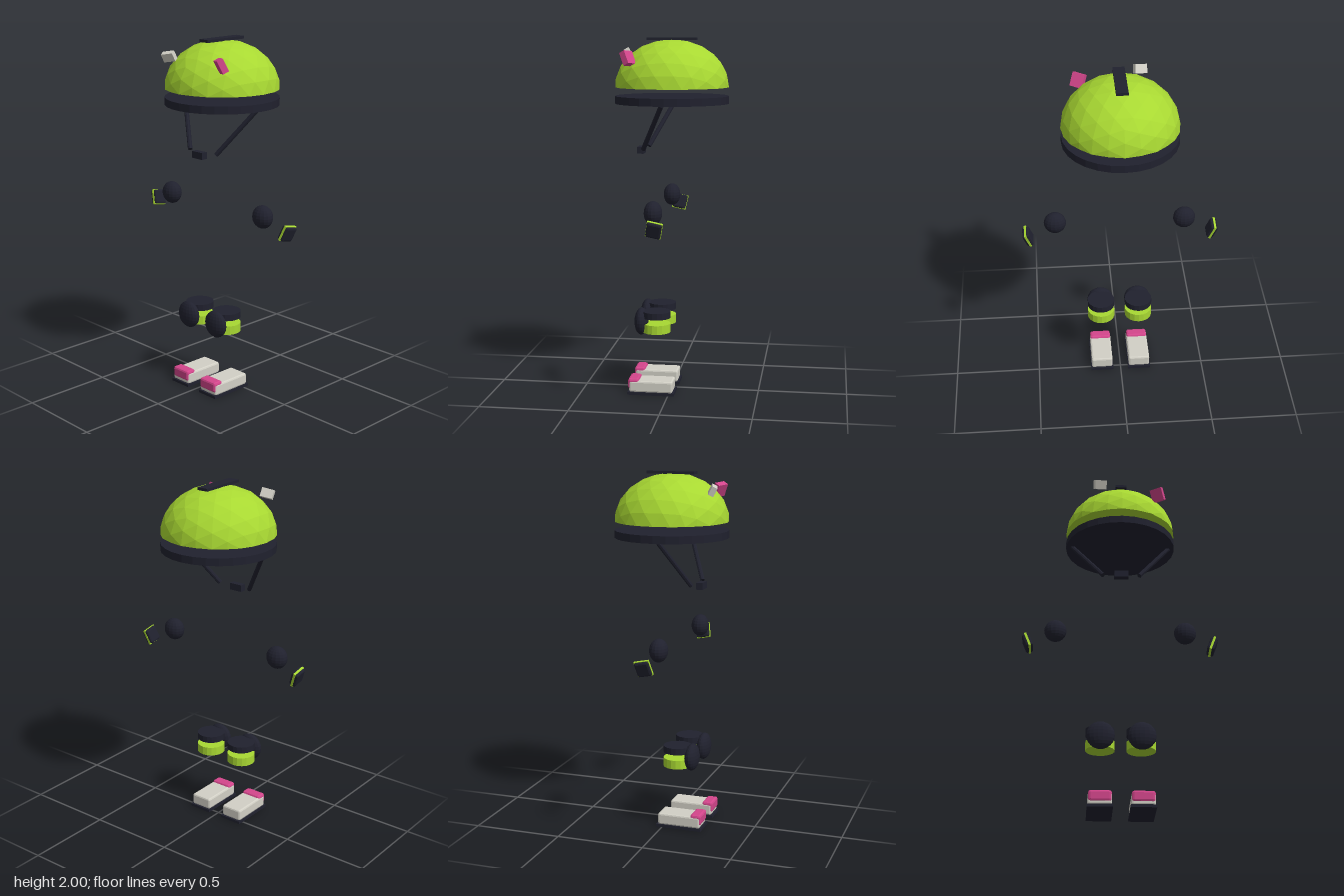
import * as THREE from 'three';
import { RoundedBoxGeometry } from 'three/addons/geometries/RoundedBoxGeometry.js';

const mat = (name, color) => {
  const m = new THREE.MeshStandardMaterial({ color, flatShading: true });
  m.name = name;
  return m;
};

export function createModel() {
  const green = mat('lime green', 0xa8d832);
  const dark = mat('charcoal', 0x20212e);
  const pink = mat('pink', 0xd4468c);
  const light = mat('light grey', 0xd2d0c6);

  const model = new THREE.Group();
  model.name = 'protectiveGear';

  const add = (parent, name, geometry, material, pos, rot = [0, 0, 0]) => {
    const mesh = new THREE.Mesh(geometry, material);
    mesh.name = name;
    mesh.position.set(...pos);
    mesh.rotation.set(...rot);
    parent.add(mesh);
    return mesh;
  };
  const group = (name) => {
    const g = new THREE.Group();
    g.name = name;
    model.add(g);
    return g;
  };
  const box = (w, h, d) => new THREE.BoxGeometry(w, h, d);
  const softBox = (w, h, d, r) => new RoundedBoxGeometry(w, h, d, 1, r);

  // Helmet: faceted dome with its lower half pressed flat
  const helmet = group('helmet');
  const dome = new THREE.IcosahedronGeometry(0.318, 3);
  const p = dome.attributes.position;
  for (let i = 0; i < p.count; i++) p.setY(i, Math.max(p.getY(i), 0) * 0.83);
  dome.computeVertexNormals();
  add(helmet, 'dome', dome, green, [0, 1.727, 0]);
  add(helmet, 'rim', new THREE.CylinderGeometry(0.317, 0.317, 0.042, 28), dark, [0, 1.658, 0]);
  add(helmet, 'topStripe', box(0.064, 0.015, 0.275), dark, [0, 1.9925, 0]);
  add(helmet, 'greyTag', box(0.07, 0.05, 0.03), light, [-0.127, 1.911, 0.272], [0.5, 0.35, 0]);
  add(helmet, 'pinkTag', box(0.07, 0.075, 0.035), pink, [0.21, 1.889, 0.211], [0.5, -0.4, 0.3]);
  add(helmet, 'chinBuckle', box(0.08, 0.038, 0.036), dark, [0, 1.376, 0.173]);

  // Parts mirrored on both sides
  for (const s of [1, -1]) {
    const side = s > 0 ? 'left' : 'right';

    // Chin strap, from the rim down to the buckle
    const a = new THREE.Vector3(s * 0.282, 1.64, 0.018);
    const b = new THREE.Vector3(s * 0.103, 1.388, 0.146);
    const dir = a.clone().sub(b);
    const strap = add(helmet, side + 'ChinStrap', new THREE.CylinderGeometry(0.013, 0.013, dir.length(), 8),
      dark, a.clone().add(b).multiplyScalar(0.5).toArray());
    strap.quaternion.setFromUnitVectors(new THREE.Vector3(0, 1, 0), dir.normalize());

    // Elbow pad
    const elbow = add(model, side + 'ElbowPad', new THREE.SphereGeometry(1, 16, 12), dark, [s * 0.366, 1.075, 0.051]);
    elbow.scale.set(0.063, 0.064, 0.05);

    // Wrist guard: dark block with a thin green band around its middle
    const wrist = group(side + 'WristGuard');
    wrist.position.set(s * 0.521, 1.01, 0.022);
    wrist.rotation.set(-0.2, 0, -s * 0.35);
    add(wrist, 'guardBlock', softBox(0.042, 0.085, 0.08, 0.01), dark, [0, 0, 0]);
    add(wrist, 'guardBand', box(0.013, 0.089, 0.084), green, [0, 0, 0]);

    // Knee guard: two round straps behind an oval pad
    const knee = group(side + 'KneeGuard');
    knee.position.set(s * 0.111, 0, 0);
    add(knee, 'upperStrap', new THREE.CylinderGeometry(0.08, 0.08, 0.037, 18), dark, [0, 0.458, 0.072]);
    add(knee, 'lowerStrap', new THREE.CylinderGeometry(0.08, 0.08, 0.05, 18), green, [0, 0.382, 0.072]);
    const pad = add(knee, 'kneePad', new THREE.SphereGeometry(1, 18, 12), dark, [0, 0.415, 0.158]);
    pad.scale.set(0.077, 0.077, 0.039);

    // Shoe
    const shoe = group(side + 'Shoe');
    shoe.position.set(s * 0.113, 0, 0);
    add(shoe, 'sole', box(0.135, 0.016, 0.265), dark, [0, 0.008, 0.098]);
    add(shoe, 'upper', softBox(0.127, 0.066, 0.248, 0.01), light, [0, 0.047, 0.098]);
    add(shoe, 'toeCap', softBox(0.123, 0.06, 0.062, 0.012), pink, [0, 0.062, 0.197]);
  }
  return model;
}
